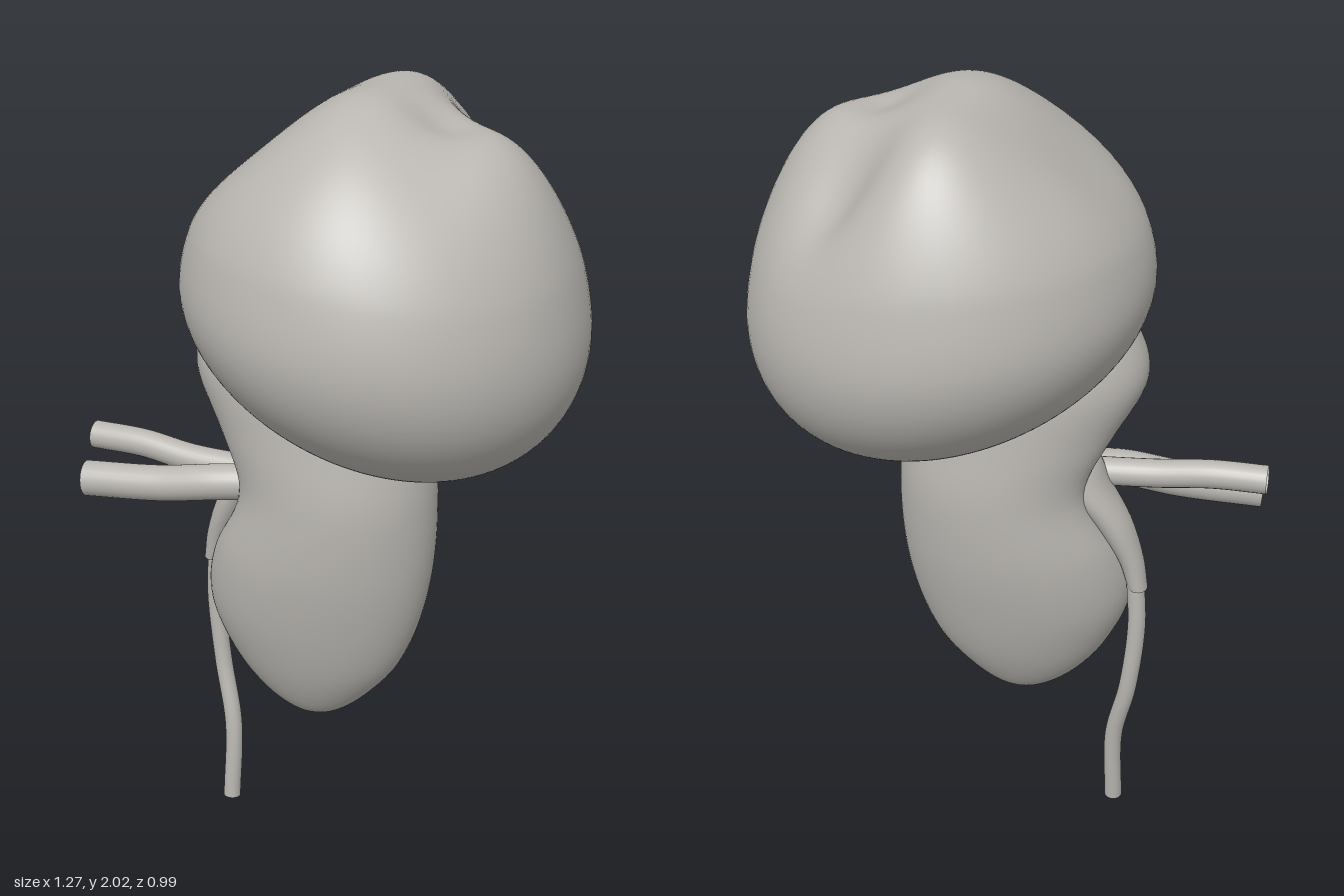
import * as THREE from 'three';

const tissue = new THREE.MeshStandardMaterial({ color: 0xb9b6b1, side: THREE.DoubleSide });
tissue.name = 'warm grey';

// Smooth closed surface from rings: point(t, a) with t going upward and a around the y axis.
function loft(name, rows, cols, point) {
  const pos = [], idx = [];
  for (let i = 0; i <= rows; i++)
    for (let j = 0; j < cols; j++) pos.push(...point(i / rows, (j / cols) * Math.PI * 2));
  for (let i = 0; i < rows; i++)
    for (let j = 0; j < cols; j++) {
      const a = i * cols + j, b = i * cols + (j + 1) % cols;
      idx.push(a, a + cols, b, b, a + cols, b + cols);
    }
  const geo = new THREE.BufferGeometry();
  geo.setAttribute('position', new THREE.Float32BufferAttribute(pos, 3));
  geo.setIndex(idx);
  geo.computeVertexNormals();
  const mesh = new THREE.Mesh(geo, tissue);
  mesh.name = name;
  return mesh;
}

// Open tube through a few points.
function tube(name, radius, points) {
  const curve = new THREE.CatmullRomCurve3(points.map(p => new THREE.Vector3(...p)));
  const mesh = new THREE.Mesh(new THREE.TubeGeometry(curve, 40, radius, 24), tissue);
  mesh.name = name;
  return mesh;
}

const spline = points =>
  new THREE.CatmullRomCurve3(points.map(p => new THREE.Vector3(...p)), false, 'catmullrom', 0.5);
const bell = (dx, dy, s) => Math.exp(-(dx * dx + dy * dy) / (s * s));

// Bean-shaped body with a notch on its inner side.
function kidney() {
  // height, inner edge, outer edge, half depth
  const profile = [
    [0.34, -0.03, -0.03, 0], [0.36, -0.10, 0.04, 0.05], [0.42, -0.18, 0.115, 0.095],
    [0.52, -0.255, 0.195, 0.14], [0.66, -0.31, 0.25, 0.18], [0.82, -0.30, 0.278, 0.207],
    [1.0, -0.245, 0.282, 0.212], [1.15, -0.285, 0.265, 0.2], [1.3, -0.338, 0.24, 0.18],
    [1.42, -0.31, 0.17, 0.14], [1.52, -0.24, 0.06, 0.09], [1.56, -0.13, -0.13, 0],
  ];
  const edges = spline(profile.map(([y, l, r]) => [l, y, r]));
  const depth = spline(profile.map(([y, , , d]) => [d, y, 0]));
  return loft('kidney', 80, 72, (t, a) => {
    const e = edges.getPoint(t), d = Math.max(0, depth.getPoint(t).x);
    const c = Math.cos(a), s = Math.sin(a);
    let x = (e.x + e.z) / 2 + (e.z - e.x) / 2 * c;
    if (c < 0) x += 0.07 * bell((e.y - 1.0) / 0.15, s / 0.4, 1);
    return [x, e.y, d * s + 0.02 * (1 - t)];
  });
}

// Lumpy round growth: a tilted ellipsoid whose upper height varies with lobes and grooves.
function growth() {
  const lobes = [
    [-0.1, 0.15, 0.4, 0.05], [0, -0.65, 0.42, 0.12], [0.75, 0.08, 0.4, 0.12],
    [-0.85, 0, 0.45, -0.09], [0.42, -0.5, 0.22, -0.1], [0.3, 0.05, 0.18, -0.035],
    [0, 0.75, 0.4, 0.04],
  ];
  return loft('growth', 96, 96, (t, a) => {
    const lat = (t - 0.5) * Math.PI, r = t === 0 || t === 1 ? 0 : Math.cos(lat);
    const u = r * Math.cos(a), w = r * Math.sin(a), up = Math.sin(lat);
    let h = 0.385 + 0.05 * u;
    if (up > 0) {
      let top = 0.46;
      for (const [lu, lw, s, amount] of lobes) top += amount * bell(u - lu, w - lw, s);
      h += (top - h) * Math.min(1, up * 3);
    }
    return [0.145 + 0.49 * u, 1.5 - 0.06 * u + h * up, 0.495 * w];
  });
}

// Funnel leaving the notch and narrowing downward.
function pelvis() {
  // centre x, height, radius
  const path = spline([[-0.332, 0.715, 0.025], [-0.31, 0.8, 0.033], [-0.262, 0.9, 0.048],
    [-0.195, 1.0, 0.06], [-0.165, 1.09, 0.05], [-0.15, 1.14, 0]]);
  return loft('renalPelvis', 32, 32, (t, a) => {
    const p = path.getPoint(t), r = Math.max(0, p.z);
    return [p.x + r * Math.cos(a), p.y, -0.04 + 0.03 * t + 1.25 * r * Math.sin(a)];
  });
}

export function createModel() {
  const model = new THREE.Group();
  model.name = 'kidneyWithGrowth';
  model.add(
    kidney(),
    growth(),
    pelvis(),
    tube('ureter', 0.023, [[-0.325, 0.74, -0.04], [-0.333, 0.6, -0.045], [-0.315, 0.4, -0.042],
      [-0.28, 0.22, -0.018], [-0.282, 0, 0]]),
    tube('vein', 0.046, [[-0.625, 0.953, 0.094], [-0.42, 0.968, 0.087], [-0.27, 0.992, 0.08],
      [-0.14, 1.0, 0.05]]),
    tube('artery', 0.036, [[-0.638, 1.036, 0.003], [-0.5, 1.035, 0.01], [-0.36, 1.018, 0.02],
      [-0.14, 1.01, 0.02]]),
  );
  return model;
}
